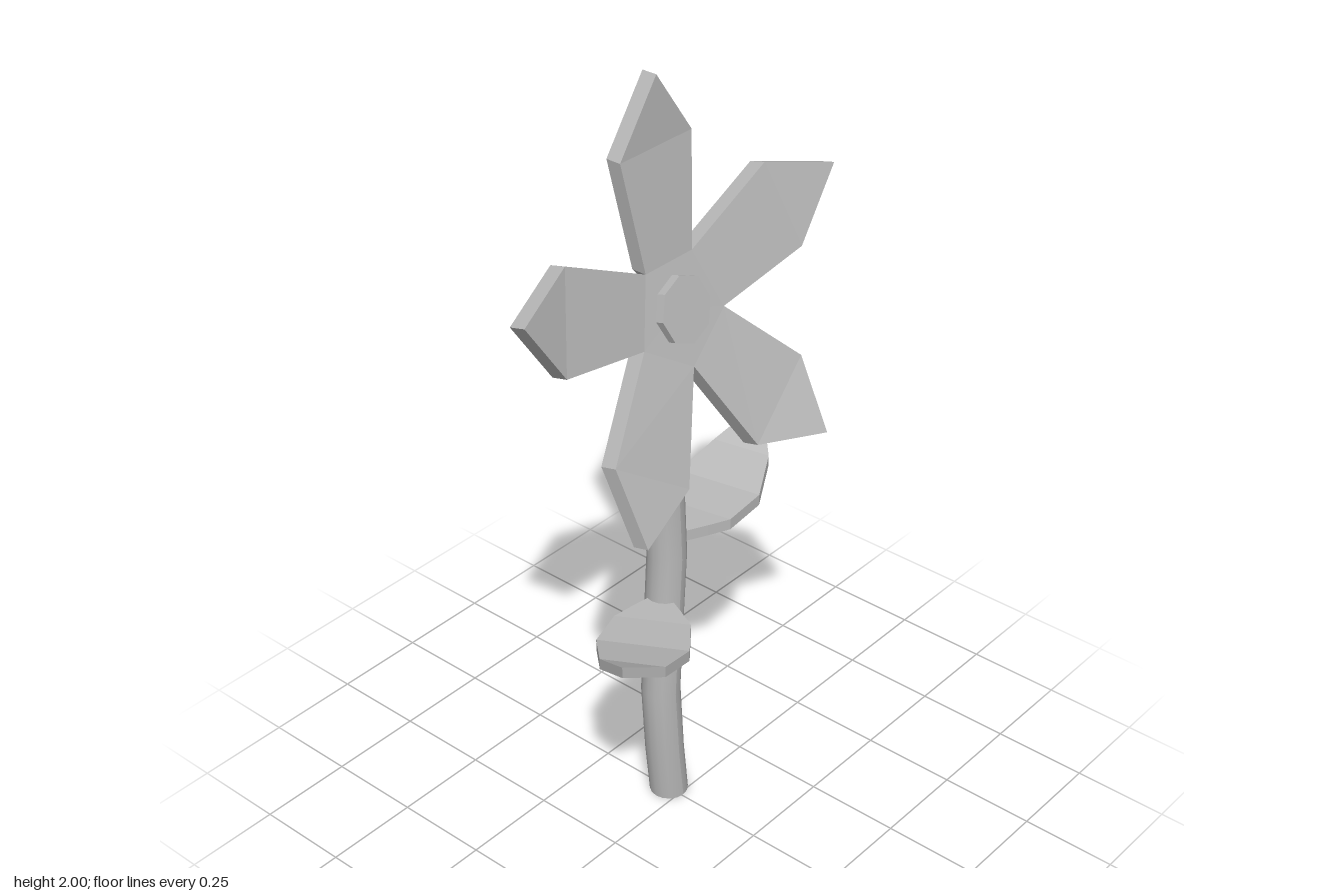
import * as THREE from 'three';

const grey = new THREE.MeshStandardMaterial({ color: 0xb8b8b8 });
grey.name = 'plain grey';

// Solid plate from rows of [left, right] points, thickened by an offset to its back
function slab(name, rows, offset) {
  const pos = [];
  const tri = (...pts) => pts.forEach(p => pos.push(...p));
  const quad = (a, b, c, d) => { tri(a, b, c); tri(a, c, d); };
  const back = p => p.map((v, i) => v + offset[i]);
  for (let i = 0; i < rows.length - 1; i++) {
    const [l0, r0] = rows[i], [l1, r1] = rows[i + 1];
    quad(l0, r0, r1, l1);
    quad(back(l1), back(r1), back(r0), back(l0));
    quad(r0, back(r0), back(r1), r1);
    quad(l1, back(l1), back(l0), l0);
  }
  const [l, r] = rows[0];
  quad(l, back(l), back(r), r);
  const geo = new THREE.BufferGeometry();
  geo.setAttribute('position', new THREE.Float32BufferAttribute(pos, 3));
  geo.computeVertexNormals();
  const mesh = new THREE.Mesh(geo, grey);
  mesh.name = name;
  return mesh;
}

const mirror = ([x, y, z]) => [-x, y, z];

// Leaf outline: distance along, half width, rise
const LEAF = [[0, 0.015, 0], [0.06, 0.06, 0], [0.11, 0.095, 0], [0.225, 0.114, 0.012],
  [0.34, 0.079, 0.053], [0.448, 0, 0.135]];

function leaf(name, base, tipX, tipZ, lift) {
  const dir = new THREE.Vector2(tipX - base[0], tipZ - base[2]).normalize();
  const rows = LEAF.map(([u, w, h]) => [-w, w].map(v => [
    base[0] + dir.x * u - dir.y * v,
    base[1] + h * lift,
    base[2] + dir.y * u + dir.x * v]));
  return slab(name, rows, [0, -0.03, 0]);
}

export function createModel() {
  const group = new THREE.Group();

  // Gently wavy stem
  const path = new THREE.SplineCurve([[0.005, 0], [-0.025, 0.35], [0, 0.75], [-0.02, 1.1], [-0.012, 1.4]]
    .map(p => new THREE.Vector2(...p)));
  const stemGeo = new THREE.CylinderGeometry(0.05, 0.05, 1.4, 16, 8);
  stemGeo.translate(0, 0.7, -0.04);
  const p = stemGeo.attributes.position;
  for (let i = 0; i < p.count; i++) {
    const c = path.getPoint(p.getY(i) / 1.4);
    p.setXY(i, p.getX(i) + c.x, c.y);
  }
  stemGeo.computeVertexNormals();
  const stem = new THREE.Mesh(stemGeo, grey);
  stem.name = 'stem';
  group.add(stem);

  // Five petals meeting at the middle, with shared notches between them
  const mid = [0, 1.45, 0.002];
  const upper = [0.08, 1.555, -0.03], side = [0.14, 1.4, 0.017], low = [0, 1.31, 0.045];
  group.add(slab('topPetal', [[mid, mid], [mirror(upper), upper],
    [[-0.12, 1.83, -0.066], [0.12, 1.83, -0.066]],
    [[0, 2, -0.065], [0, 2, -0.065]]], [0, 0, -0.04]));
  const tips = {
    SidePetal: [[mid, mid], [upper, side],
      [[0.34, 1.68, -0.03], [0.41, 1.455, 0.033]],
      [[0.53, 1.63, 0.03], [0.53, 1.63, 0.03]]],
    LowerPetal: [[mid, mid], [side, low],
      [[0.333, 1.215, 0.1], [0.125, 1.075, 0.138]],
      [[0.328, 1.035, 0.19], [0.328, 1.035, 0.19]]],
  };
  for (const [name, rows] of Object.entries(tips)) {
    const off = [0, -0.011, -0.043];
    group.add(slab('left' + name, rows, off));
    group.add(slab('right' + name, rows.map(([l, r]) => [mirror(r), mirror(l)]), off));
  }

  // Octagonal flower centre, tilted slightly upward
  const disc = new THREE.Mesh(
    new THREE.CylinderGeometry(0.083, 0.083, 0.035, 8).toNonIndexed(), grey);
  disc.geometry.computeVertexNormals();
  disc.name = 'flowerCentre';
  disc.rotation.x = Math.PI / 2 - 0.27;
  disc.position.set(0, 1.447, 0.007);
  group.add(disc);

  // Leaves
  group.add(leaf('leftLeaf', [0.03, 0.8, -0.04], 0.47, -0.125, 1));
  group.add(leaf('rightLeaf', [-0.02, 0.635, -0.04], -0.41, 0.18, 0.83));
  return group;
}
